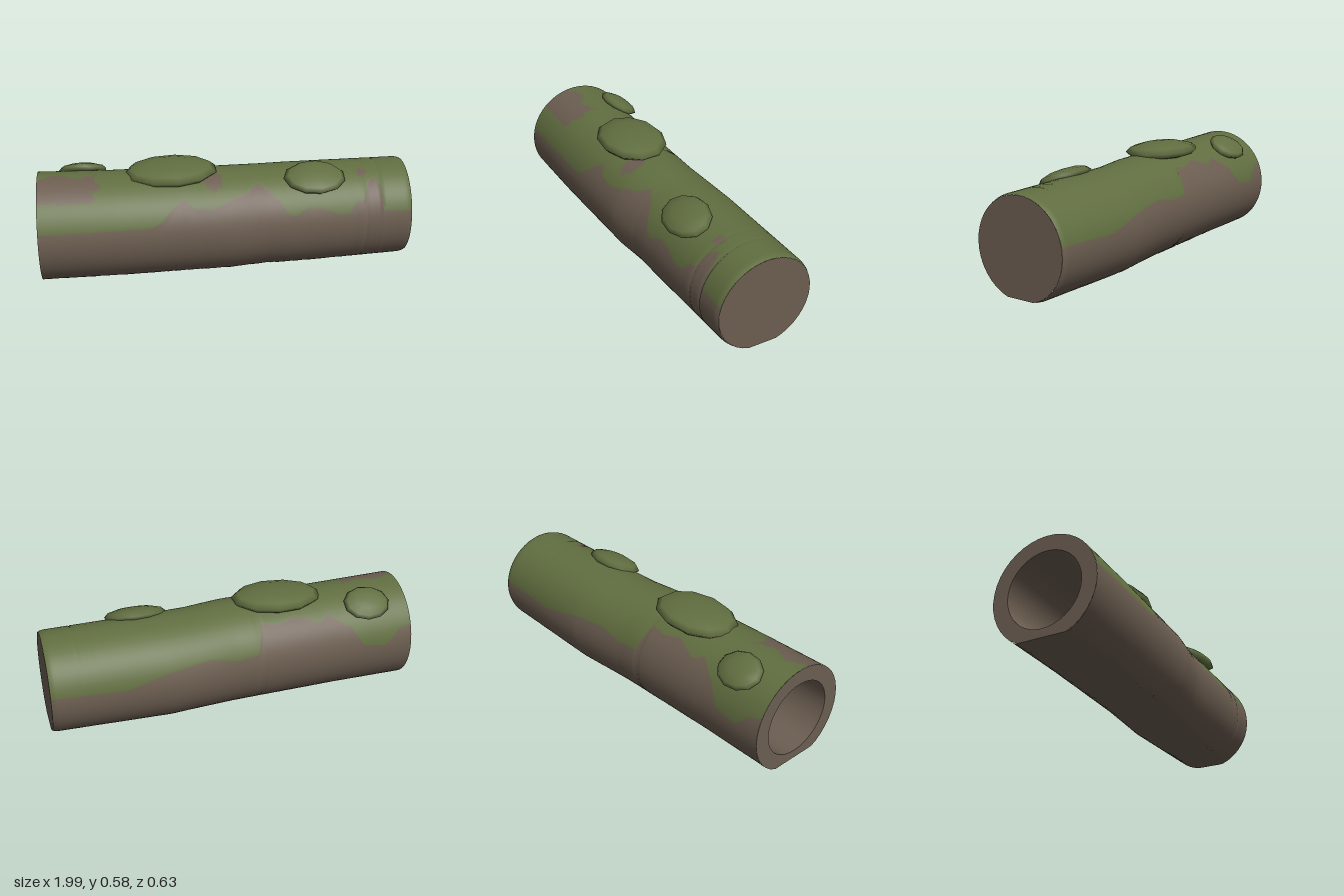
import * as THREE from 'three';

const bark = new THREE.MeshStandardMaterial({ name: 'bark brown', color: 0x6c5e51 });
const moss = new THREE.MeshStandardMaterial({ name: 'moss green', color: 0x616e40 });

// Trunk sections along x: [x, centre y, centre z, radius]
const SECTIONS = [
  [-1, 0.255, 0.025, 0.289], [-0.6, 0.25, 0.02, 0.285], [0, 0.245, -0.003, 0.281], [0.2, 0.243, -0.026, 0.276],
  [0.35, 0.241, -0.035, 0.278], [0.97, 0.25, -0.052, 0.268], [0.99, 0.25, -0.052, 0.26],
];
// Lower edge of the moss: [x, height] on the front and on the back
const FRONT_EDGE = [
  [-1, 0.325], [-0.42, 0.325], [-0.36, 0.35], [-0.3, 0.41], [-0.24, 0.45], [-0.19, 0.405], [-0.08, 0.4],
  [0.04, 0.44], [0.09, 0.45], [0.15, 0.485], [0.22, 0.45], [0.27, 0.4], [0.31, 0.34], [0.35, 0.33], [0.42, 0.365],
  [0.5, 0.36], [0.6, 0.32], [0.65, 0.33], [0.69, 0.385], [0.73, 0.38], [0.75, 0.46], [0.79, 0.48],
  [0.82, 0.45], [0.835, 0.33], [0.99, 0.32],
];
const BACK_EDGE = [
  [-1, 0.38], [-0.93, 0.36], [-0.85, 0.28], [-0.72, 0.3], [-0.65, 0.4], [-0.6, 0.43], [-0.54, 0.47], [-0.48, 0.44],
  [-0.35, 0.48], [-0.25, 0.46], [-0.16, 0.47], [-0.12, 0.34], [0, 0.33], [0.15, 0.36], [0.35, 0.34],
  [0.6, 0.28], [0.99, 0.3],
];

// Linear interpolation of table rows by their first entry
function sample(table, x) {
  let k = 0;
  while (k < table.length - 2 && x > table[k + 1][0]) k++;
  const a = table[k], b = table[k + 1];
  const t = THREE.MathUtils.clamp((x - a[0]) / (b[0] - a[0]), 0, 1);
  return a.slice(1).map((v, i) => v + (b[i + 1] - v) * t);
}

// Point on the trunk; the angle runs from the top towards +z, the underside is flat
function trunkPoint(x, angle, scale = 1) {
  const [cy, cz, r] = sample(SECTIONS, x);
  return [x, Math.max(0.003, cy + r * scale * Math.cos(angle)), cz + r * scale * Math.sin(angle)];
}

// Grid of closed rings; pick(point) chooses the material of each cell
function ringSurface(name, rings, materials, pick = () => 0) {
  const n = rings[0].length, lists = materials.map(() => []);
  for (let i = 0; i < rings.length - 1; i++) {
    for (let j = 0; j < n; j++) {
      const k = (j + 1) % n;
      const a = i * n + j, b = i * n + k, c = a + n, d = b + n;
      const mid = [0, 1, 2].map((q) => (rings[i][j][q] + rings[i + 1][k][q]) / 2);
      lists[pick(mid, j)].push(a, b, c, b, d, c);
    }
  }
  const geo = new THREE.BufferGeometry();
  geo.setAttribute('position', new THREE.Float32BufferAttribute(rings.flat(2), 3));
  geo.setIndex(lists.flat());
  let start = 0;
  lists.forEach((l, m) => { geo.addGroup(start, l.length, m); start += l.length; });
  geo.computeVertexNormals();
  const mesh = new THREE.Mesh(geo, materials.length > 1 ? materials : materials[0]);
  mesh.name = name;
  return mesh;
}

// Plain ring surface through [x, scale] stations
function loft(name, stations) {
  const n = 40;
  return ringSurface(name, stations.map(([x, s]) =>
    Array.from({ length: n }, (_, j) => trunkPoint(x, (j / n) * Math.PI * 2, s))), [bark]);
}

// Bare bark showing through the moss on top
function isBare([x, y, z]) {
  const leftPatch = x < -0.69 + 0.02 * Math.sin(z * 60) && y > 0.46 && z > 0.05 + 0.018 * Math.sin(x * 30);
  const spot = Math.hypot(x - 0.73, z - 0.055) < 0.03;
  const besideCushion = Math.hypot((x + 0.08) / 0.05, (z - 0.1) / 0.07) < 1;
  return leftPatch || spot || besideCushion;
}

// Outer trunk: each ring has a moss arc and a bark arc meeting at the moss edge
function trunkShell() {
  const mossCells = 36, barkCells = 36, columns = 140, rings = [];
  for (let i = 0; i <= columns; i++) {
    const x = -1 + (1.99 * i) / columns;
    const [cy, , r] = sample(SECTIONS, x);
    const edgeAngle = (table) => Math.acos(THREE.MathUtils.clamp((sample(table, x)[0] - cy) / r, -1, 1));
    const front = edgeAngle(FRONT_EDGE), back = -edgeAngle(BACK_EDGE);
    const ring = [];
    for (let j = 0; j < mossCells; j++) ring.push(trunkPoint(x, back + ((front - back) * j) / mossCells));
    for (let j = 0; j < barkCells; j++) {
      ring.push(trunkPoint(x, front + ((back + Math.PI * 2 - front) * j) / barkCells));
    }
    rings.push(ring);
  }
  return ringSurface('trunk', rings, [bark, moss], (p, j) => (j < mossCells && !isBare(p) ? 1 : 0));
}

// Flattened moss cushion leaning with the trunk
function cushion(name, position, radii, tilt, roll = 0) {
  const mesh = new THREE.Mesh(new THREE.SphereGeometry(1, 11, 6), moss);
  mesh.name = name;
  mesh.position.set(...position);
  mesh.scale.set(...radii);
  mesh.rotation.set(tilt, 0, roll);
  return mesh;
}

export function createModel() {
  const group = new THREE.Group();
  group.name = 'mossyHollowLog';
  group.add(
    trunkShell(),
    loft('closedEnd', [[0.99, 1], [0.99, 0]]),
    loft('boreEnd', [[0.9, 0], [0.9, 0.71]]),
    loft('bore', [[0.9, 0.71], [0.35, 0.71], [0, 0.71], [-0.6, 0.71], [-1, 0.71]]),
    loft('hollowRim', [[-1, 0.71], [-1, 1]]),
    cushion('largeMossCushion', [-0.295, 0.531, 0.005], [0.25, 0.052, 0.178], 0.04, 0.02),
    cushion('frontMossCushion', [0.47, 0.492, 0.09], [0.168, 0.043, 0.122], 0.4),
    cushion('backMossCushion', [-0.765, 0.497, -0.15], [0.13, 0.035, 0.105], -0.55),
  );
  return group;
}
